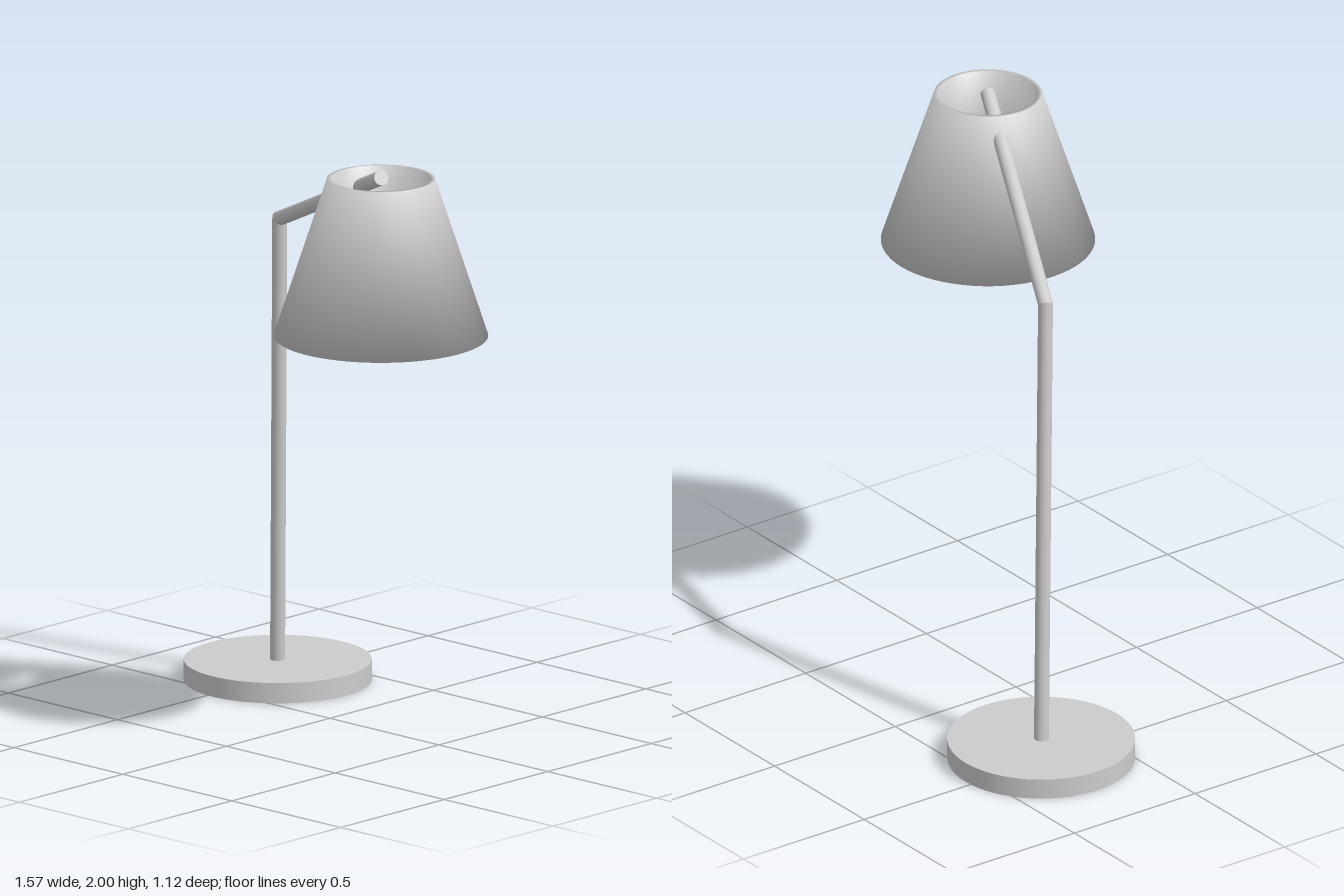
import * as THREE from 'three';

const metal = new THREE.MeshStandardMaterial({ color: 0xcccccc });
metal.name = 'light grey';

const V = (x, y, z) => new THREE.Vector3(x, y, z);

function part(name, geometry) {
  const mesh = new THREE.Mesh(geometry, metal);
  mesh.name = name;
  return mesh;
}

// Round rod from a to b; each end slides along the axis onto its cut plane.
function rod(a, b, radius, normalA, normalB) {
  const axis = b.clone().sub(a);
  const length = axis.length();
  axis.normalize();
  const g = new THREE.CylinderGeometry(radius, radius, length, 24);
  g.applyQuaternion(new THREE.Quaternion().setFromUnitVectors(V(0, 1, 0), axis));
  const mid = a.clone().add(b).multiplyScalar(0.5);
  g.translate(mid.x, mid.y, mid.z);
  const p = g.attributes.position;
  const v = V(0, 0, 0);
  for (let i = 0; i < p.count; i++) {
    v.fromBufferAttribute(p, i);
    const atEnd = v.clone().sub(mid).dot(axis) > 0;
    const end = atEnd ? b : a;
    const n = (atEnd ? normalB : normalA) || axis;
    const shift = end.clone().sub(v).dot(n) / axis.dot(n);
    v.addScaledVector(axis, shift);
    p.setXYZ(i, v.x, v.y, v.z);
  }
  return g;
}

// Thin conical shell, open at both ends, shaded softly over its rims.
function shell(bottomR, topR, height, wall) {
  const profile = [
    [bottomR, 0], [topR, height], [topR - wall, height], [bottomR - wall, 0], [bottomR, 0],
  ].map(([r, y]) => new THREE.Vector2(r, y));
  const g = new THREE.LatheGeometry(profile, 64);
  const slope = new THREE.Vector2(height, bottomR - topR).normalize();
  // Rim normals are halfway between the wall and the flat edge
  const normals = [[1, -1], [1, 1], [-1, 1], [-1, -1], [1, -1]].map(([side, up]) =>
    slope.clone().multiplyScalar(side).add(new THREE.Vector2(0, up)).normalize());
  const p = g.attributes.position;
  for (let i = 0; i < p.count; i++) {
    const n = normals[i % profile.length];
    const r = Math.hypot(p.getX(i), p.getZ(i));
    g.attributes.normal.setXYZ(i, (n.x * p.getX(i)) / r, n.y, (n.x * p.getZ(i)) / r);
  }
  return g;
}

export function createModel() {
  const lamp = new THREE.Group();
  lamp.name = 'deskLamp';

  // Disc foot
  const base = part('base', new THREE.CylinderGeometry(0.313, 0.313, 0.07, 64));
  base.position.set(-0.474, 0.035, -0.247);
  lamp.add(base);

  // Bent arm, mitred at the elbow
  const foot = V(-0.475, 0.05, -0.247);
  const elbow = V(-0.385, 1.62, -0.163);
  const tip = V(0.425, 1.977, 0.199);
  const miter = elbow.clone().sub(foot).normalize().add(tip.clone().sub(elbow).normalize()).normalize();
  lamp.add(part('lowerArm', rod(foot, elbow, 0.025, null, miter)));
  lamp.add(part('upperArm', rod(elbow, tip, 0.025, miter, null)));

  // Conical shade around the arm tip
  const shade = part('shade', shell(0.357, 0.18, 0.54, 0.015));
  shade.position.set(0.425, 1.435, 0.2);
  lamp.add(shade);

  return lamp;
}
